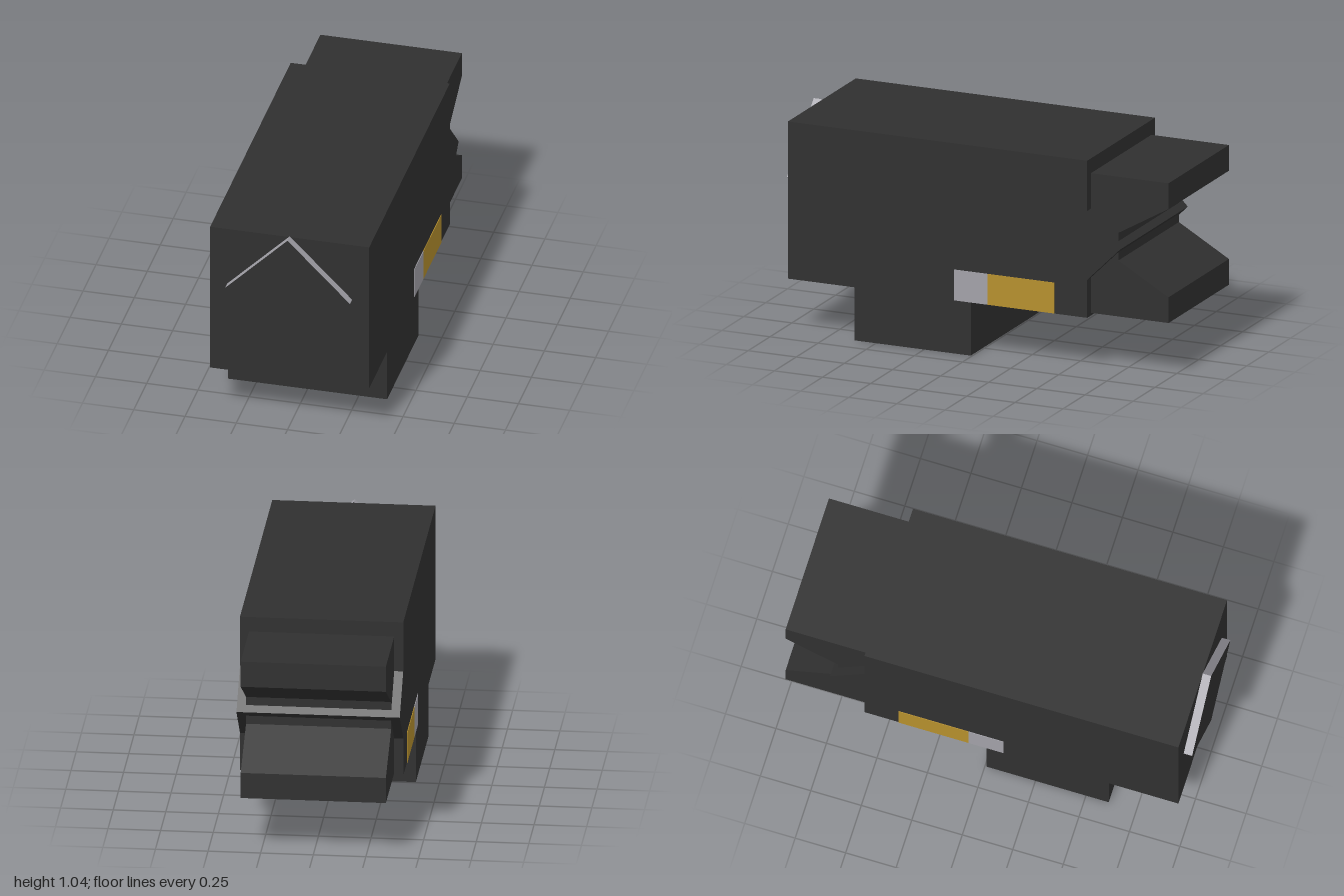
import * as THREE from 'three';

export function createModel() {
  const mat = (name, color) => {
    const m = new THREE.MeshStandardMaterial({ color });
    m.name = name;
    return m;
  };
  const dark = mat('charcoal', 0x303030);
  const grey = mat('light grey', 0xa2a1a8);
  const gold = mat('gold', 0xb58f2d);

  const group = new THREE.Group();
  const add = (name, geometry, material) => {
    const mesh = new THREE.Mesh(geometry, material);
    mesh.name = name;
    group.add(mesh);
    return mesh;
  };
  // Box given by its limits on each axis
  const block = (name, [x0, x1], [y0, y1], [z0, z1], material) => {
    const mesh = add(name, new THREE.BoxGeometry(x1 - x0, y1 - y0, z1 - z0), material);
    mesh.position.set((x0 + x1) / 2, (y0 + y1) / 2, (z0 + z1) / 2);
    return mesh;
  };

  // Main housing and the foot below it
  block('body', [-0.388, 0.388], [0.262, 1.038], [-0.597, 0.958], dark);
  block('foot', [-0.388, 0.388], [0, 0.262], [0.008, 0.613], dark);

  // Diamond plate on the front: dark face, grey edges
  const side = 0.305 * Math.SQRT2;
  const diamond = add('frontDiamond', new THREE.BoxGeometry(side, side, 0.042),
    [grey, grey, grey, grey, dark, dark]);
  diamond.position.set(0, 0.737, 0.979);
  diamond.rotation.z = Math.PI / 4;

  // Notched jaw at the back, profile as [z, y], extruded across x
  const profile = [
    [-0.597, 0.275], [-1, 0.275], [-1, 0.402], [-0.74, 0.552],
    [-0.74, 0.688], [-1, 0.838], [-1, 0.965], [-0.597, 0.965],
  ];
  const shape = new THREE.Shape(profile.map(([z, y]) => new THREE.Vector2(-z, y)));
  const jawGeometry = new THREE.ExtrudeGeometry(shape, { depth: 0.69, bevelEnabled: false });
  jawGeometry.translate(0, 0, -0.345);
  jawGeometry.rotateY(Math.PI / 2);
  add('rearJaw', jawGeometry, dark);

  // Square bar turned on edge, its ridge showing inside the notch
  const barSide = 0.25 * Math.SQRT2;
  const bar = add('rearBar', new THREE.BoxGeometry(0.776, barSide, barSide), dark);
  bar.position.set(0, 0.62, -0.517);
  bar.rotation.x = Math.PI / 4;

  // Coloured panels low on both flanks
  for (const s of [1, -1]) {
    const x = s > 0 ? [0.387, 0.391] : [-0.391, -0.387];
    const label = s > 0 ? 'left' : 'right';
    block(label + 'GreyPanel', x, [0.263, 0.415], [-0.08, 0.093], grey);
    block(label + 'GoldPanel', x, [0.263, 0.415], [-0.427, -0.08], gold);
  }

  return group;
}
